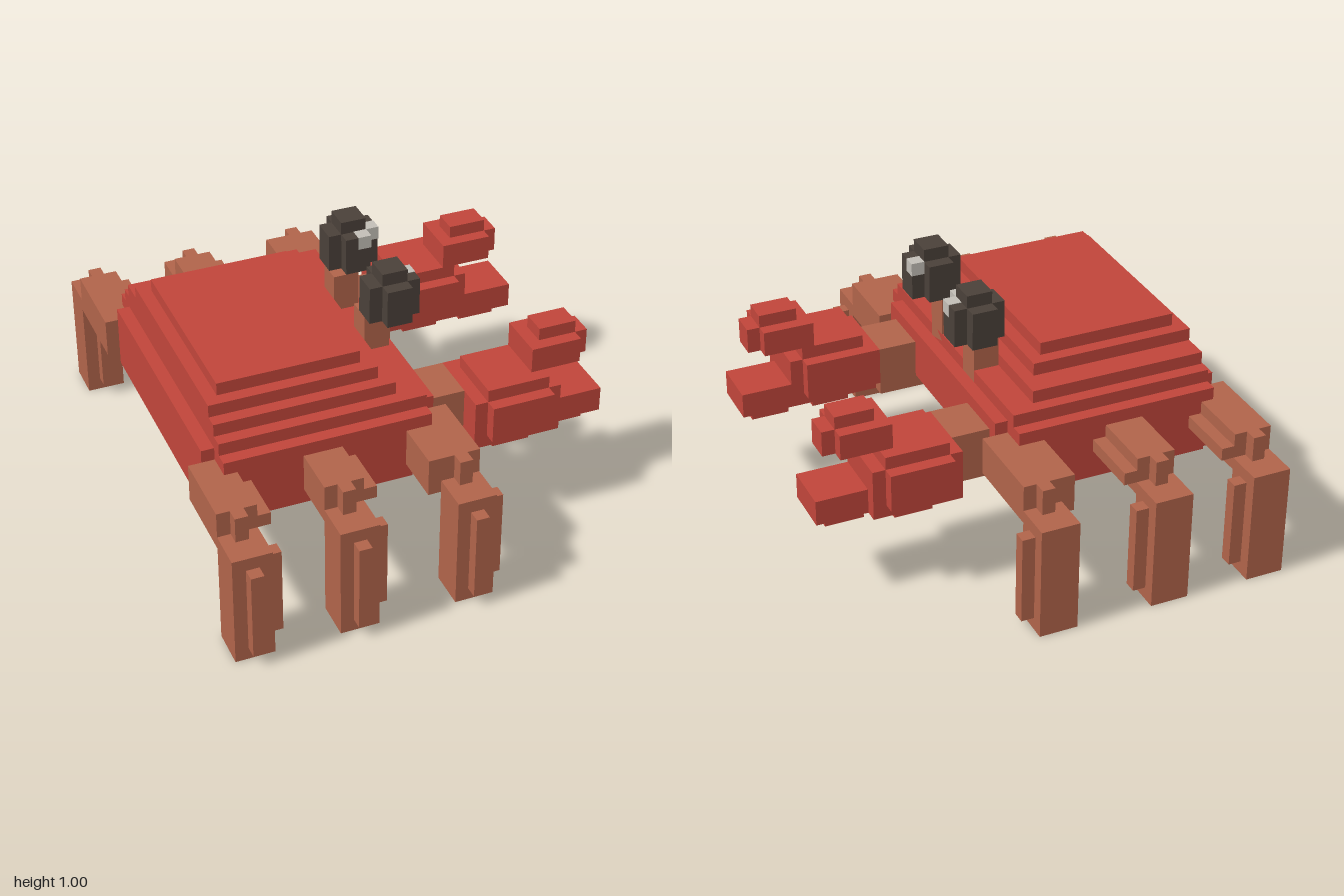
import * as THREE from 'three';

const material = (name, color) => {
  const m = new THREE.MeshStandardMaterial({ color });
  m.name = name;
  return m;
};

export function createModel() {
  const shellRed = material('shell red', 0xc0453a);
  const limbBrown = material('limb brown', 0xb0634a);
  const eyeDark = material('eye dark', 0x4a4039);
  const eyeWhite = material('eye white', 0xc2beb6);

  const model = new THREE.Group();
  model.name = 'crab';

  const part = (name) => {
    const g = new THREE.Group();
    g.name = name;
    model.add(g);
    return g;
  };

  // Box given by its limits on each axis; z limits may come in either order
  const block = (parent, name, mat, x0, x1, y0, y1, za, zb) => {
    const z0 = Math.min(za, zb), z1 = Math.max(za, zb);
    const mesh = new THREE.Mesh(new THREE.BoxGeometry(x1 - x0, y1 - y0, z1 - z0), mat);
    mesh.position.set((x0 + x1) / 2, (y0 + y1) / 2, (z0 + z1) / 2);
    mesh.name = name;
    parent.add(mesh);
  };

  // Stepped shell: x0, x1, y0, y1, z0, z1 of every layer
  const body = part('body');
  [
    [-0.675, -0.025, 0.25, 0.30, -0.45, 0.45],
    [-0.725, 0.025, 0.30, 0.35, -0.55, 0.55],
    [-0.775, 0.075, 0.35, 0.40, -0.5, 0.5],
    [-0.725, 0.075, 0.35, 0.60, -0.6, 0.6],
    [-0.775, 0.125, 0.40, 0.60, -0.5, 0.5],
    [-0.725, 0.075, 0.60, 0.65, -0.55, 0.55],
    [-0.725, -0.025, 0.65, 0.70, -0.5, 0.5],
    [-0.725, -0.075, 0.70, 0.75, -0.4, 0.45],
    [-0.675, -0.125, 0.75, 0.80, -0.35, 0.4],
  ].forEach((l) => block(body, 'shellLayer', shellRed, ...l));

  // Three legs on each side; x is the back edge of the lower leg
  for (const side of [1, -1]) {
    const knee = side > 0 ? 0.8 : -0.85;
    const foot = side > 0 ? 0.8 : -1.0;
    [-0.825, -0.425, 0.025].forEach((x, i) => {
      const leg = part(side > 0 ? 'leftLeg' : 'rightLeg');
      // upper leg with side and bottom ridges
      block(leg, 'upperLeg', limbBrown, x, x + 0.15, 0.4, 0.55, side * 0.5, knee);
      block(leg, 'kneeRidge', limbBrown, x + 0.05, x + 0.1, 0.45, 0.55, knee, knee + side * 0.05);
      block(leg, 'lowerRidge', limbBrown, x + 0.05, x + 0.1, 0.35, 0.4, side * 0.6, side * 0.8);
      if (i < 2) block(leg, 'sideRidge', limbBrown, x + 0.15, x + 0.2, 0.45, 0.5, side * 0.55, knee);
      else block(leg, 'sideRidge', limbBrown, x - 0.05, x, 0.4, 0.55, side * 0.55, knee);
      // lower leg with front and side ridges
      block(leg, 'lowerLeg', limbBrown, x, x + 0.15, 0, 0.45, foot, foot + 0.15);
      block(leg, 'shinRidge', limbBrown, x + 0.15, x + 0.2, 0.05, 0.4, foot + 0.05, foot + 0.1);
      block(leg, 'shinRidge', limbBrown, x + 0.05, x + 0.1, 0.05, 0.4, foot + 0.15, foot + 0.2);
    });
  }

  for (const s of [1, -1]) {
    const label = s > 0 ? 'left' : 'right';

    // Arm and claw
    const arm = part(label + 'Arm');
    block(arm, 'arm', limbBrown, 0.075, 0.275, 0.35, 0.55, s * 0.25, s * 0.45);
    const claw = part(label + 'Claw');
    [
      ['palm', 0.275, 0.625, 0.35, 0.55, 0.3, 0.55],
      ['palmInner', 0.275, 0.575, 0.4, 0.55, 0.25, 0.3],
      ['palmOuter', 0.325, 0.575, 0.4, 0.55, 0.55, 0.6],
      ['palmTop', 0.325, 0.575, 0.55, 0.6, 0.3, 0.55],
      ['palmBottom', 0.375, 0.525, 0.3, 0.35, 0.35, 0.5],
      ['lowerPincer', 0.625, 0.825, 0.35, 0.45, 0.3, 0.5],
      ['lowerPincerBase', 0.625, 0.775, 0.3, 0.35, 0.35, 0.45],
      ['upperPincer', 0.525, 0.725, 0.6, 0.7, 0.3, 0.5],
      ['upperPincerTip', 0.725, 0.775, 0.6, 0.7, 0.35, 0.45],
      ['upperPincerTop', 0.575, 0.725, 0.7, 0.75, 0.35, 0.45],
    ].forEach(([n, x0, x1, y0, y1, z0, z1]) =>
      block(claw, n, shellRed, x0, x1, y0, y1, s * z0, s * z1));

    // Eye on a stalk, rounded by crossing two blocks
    const eye = part(label + 'Eye');
    block(eye, 'eyeStalk', limbBrown, -0.025, 0.075, 0.6, 0.8, s * 0.1, s * 0.2);
    block(eye, 'eyeball', eyeDark, -0.025, 0.175, 0.8, 0.95, s * 0.15, s * 0.25);
    block(eye, 'eyeball', eyeDark, 0.025, 0.125, 0.8, 0.95, s * 0.1, s * 0.3);
    block(eye, 'eyeTop', eyeDark, 0.025, 0.125, 0.95, 1.0, s * 0.15, s * 0.25);
    // glints stand just proud of the eyeball
    const e = 0.002;
    block(eye, 'eyeGlint', eyeWhite, 0.125, 0.175 + e, 0.9, 0.95 + e, s * (0.15 - e), s * 0.2);
    if (s < 0) block(eye, 'eyeGlint', eyeWhite, 0.075, 0.125 + e, 0.9, 0.95 + e, -0.1 + e, -0.15);
  }

  return model;
}
